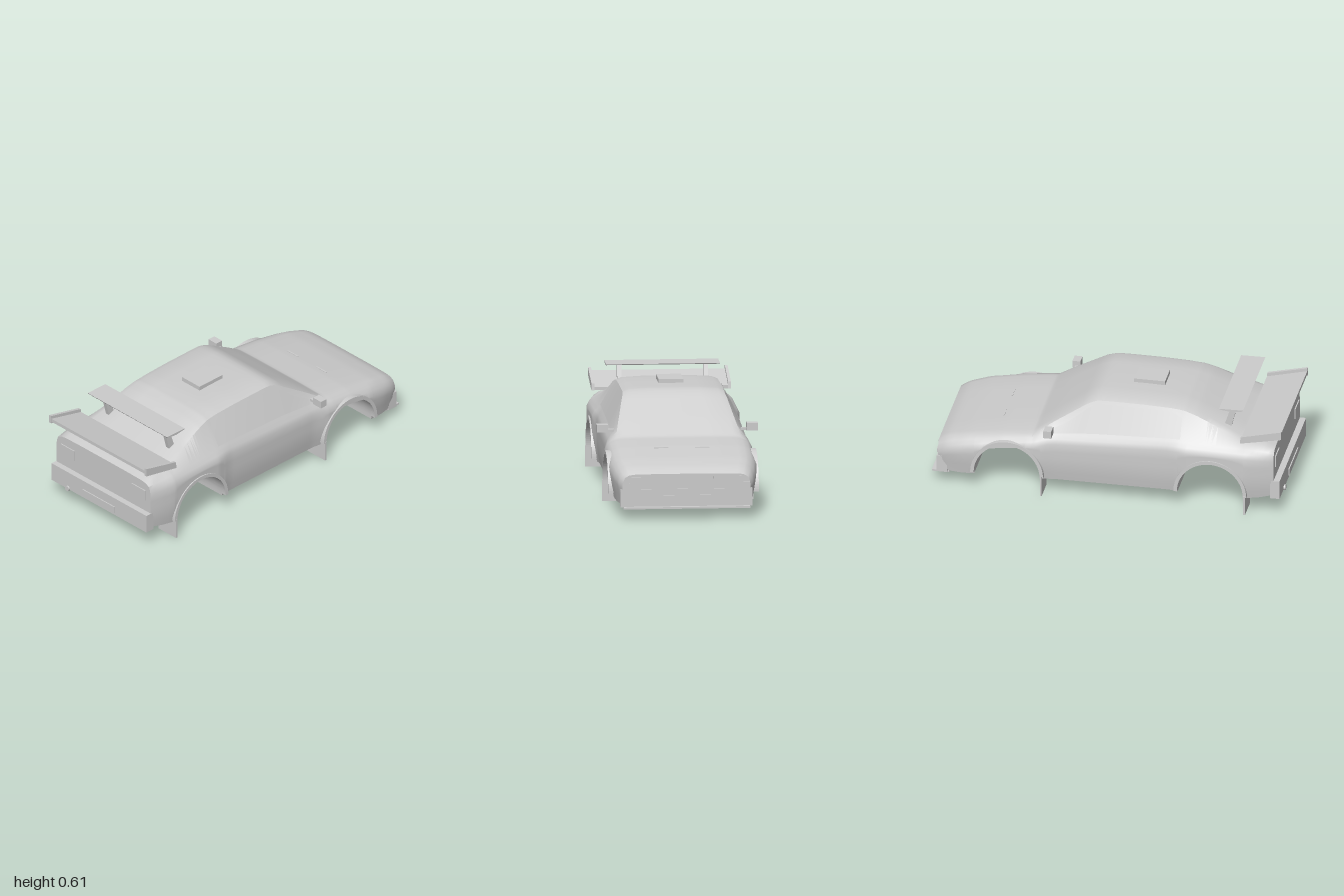
import * as THREE from 'three';
import { toCreasedNormals } from 'three/addons/utils/BufferGeometryUtils.js';

const paint = new THREE.MeshStandardMaterial({ color: 0xcccccc, side: THREE.DoubleSide });
paint.name = 'light grey';

// Piecewise linear curve through [x, value] pairs
const curve = (pts) => (x) => {
  if (x <= pts[0][0]) return pts[0][1];
  for (let i = 1; i < pts.length; i++) {
    const [x0, v0] = pts[i - 1], [x1, v1] = pts[i];
    if (x <= x1) return v0 + ((v1 - v0) * (x - x0)) / (x1 - x0);
  }
  return pts[pts.length - 1][1];
};

const topY = curve([[-0.955, 0.4], [-0.9, 0.42], [-0.77, 0.438], [-0.62, 0.5], [-0.5, 0.552], [-0.43, 0.573],
  [-0.35, 0.581], [-0.2, 0.586], [0, 0.587], [0.07, 0.585], [0.12, 0.565], [0.3, 0.448], [0.42, 0.366],
  [0.6, 0.346], [0.8, 0.312], [0.92, 0.28], [0.965, 0.25]]);
const beltY = curve([[-0.955, 0.38], [-0.8, 0.395], [-0.4, 0.4], [0.33, 0.368], [0.42, 0.345], [0.6, 0.325],
  [0.8, 0.288], [0.92, 0.255], [0.965, 0.23]]);
const beltZ = curve([[-0.955, 0.365], [-0.8, 0.385], [-0.4, 0.375], [0.3, 0.37], [0.45, 0.385], [0.75, 0.38],
  [0.92, 0.36], [0.965, 0.345]]);
const edgeZ = curve([[-0.955, 0.34], [-0.77, 0.335], [-0.6, 0.305], [-0.4, 0.285], [0.08, 0.285], [0.35, 0.34],
  [0.45, 0.355], [0.8, 0.35], [0.965, 0.32]]);
const edgeDrop = curve([[-0.955, 0.008], [-0.77, 0.015], [-0.5, 0.02], [0.1, 0.02], [0.4, 0.01], [0.965, 0.006]]);
const sideZ = curve([[-0.955, 0.38], [-0.88, 0.4], [-0.8, 0.417], [-0.45, 0.415], [-0.35, 0.398], [0.3, 0.398],
  [0.4, 0.414], [0.72, 0.414], [0.85, 0.398], [0.94, 0.378], [0.965, 0.363]]);
const floorY = curve([[-0.955, 0.115], [-0.87, 0.1], [-0.79, 0.095], [0.74, 0.09], [0.8, 0.078], [0.94, 0.075], [0.965, 0.1]]);
const tuck = curve([[0.08, 0.95], [0.17, 0.99], [0.22, 1], [0.34, 1]]);

const AXLES = [-0.6, 0.56], ARCH_Y = 0.11, ARCH_R = 0.19;
const sillY = (x) => {
  for (const c of AXLES) {
    const d = x - c;
    if (Math.abs(d) < ARCH_R) return ARCH_Y + Math.sqrt(ARCH_R * ARCH_R - d * d);
  }
  return floorY(x);
};

// Half section [z, y] from sill to roof centre; belt is index 7, roof edge index 8
function halfSection(x) {
  const b = sillY(x), shoulder = beltY(x) - 0.05, w = sideZ(x), pts = [];
  for (let i = 0; i <= 5; i++) {
    const y = b + ((shoulder - b) * i) / 5;
    pts.push([w * tuck(y), y]);
  }
  const top = topY(x), bz = beltZ(x), ez = edgeZ(x), ey = Math.max(top - edgeDrop(x), beltY(x));
  pts.push([w * 0.6 + bz * 0.4, beltY(x) - 0.022], [bz, beltY(x)], [ez, ey]);
  pts.push([ez - 0.035, top - edgeDrop(x) * 0.3], [ez * 0.5, top], [0, top]);
  return pts;
}

// Full closed section, with wheel wells that sink to the floor at the centre line
function section(x) {
  const half = halfSection(x), loop = [...half];
  for (let i = half.length - 2; i >= 0; i--) loop.push([-half[i][0], half[i][1]]);
  const [z0, b] = half[0], f = floorY(x);
  for (let i = 1; i < 12; i++) {
    const t = -1 + i / 6, k = 1 - (1 - Math.abs(t)) ** 2;
    loop.push([z0 * t, f + (b - f) * k]);
  }
  return loop;
}

function gridGeometry(rings, closed, caps) {
  const n = rings[0].length, pos = rings.flat(2), index = [];
  for (let i = 0; i + 1 < rings.length; i++)
    for (let j = 0; j < (closed ? n : n - 1); j++) {
      const k = (j + 1) % n, a = i * n, b = a + n;
      index.push(a + j, b + j, b + k, a + j, b + k, a + k);
    }
  if (caps) for (const [r, flip] of [[0, false], [rings.length - 1, true]]) {
    const c = pos.length / 3, base = r * n;
    pos.push(rings[r][0][0], 0.22, 0);
    for (let j = 0; j < n; j++) {
      const k = (j + 1) % n;
      index.push(c, base + (flip ? k : j), base + (flip ? j : k));
    }
  }
  const g = new THREE.BufferGeometry();
  g.setAttribute('position', new THREE.Float32BufferAttribute(pos, 3));
  g.setIndex(index);
  return toCreasedNormals(g, 0.6);
}

export function createModel() {
  const car = new THREE.Group();
  car.name = 'rallyCar';
  const add = (name, geometry) => {
    const m = new THREE.Mesh(geometry, paint);
    m.name = name;
    car.add(m);
    return m;
  };
  // Box given by its limits
  const box = (name, x0, x1, y0, y1, z0, z1) =>
    add(name, new THREE.BoxGeometry(x1 - x0, y1 - y0, z1 - z0))
      .position.set((x0 + x1) / 2, (y0 + y1) / 2, (z0 + z1) / 2);
  // Side outline extruded across the car
  const prism = (name, pts, z0, z1) => {
    const shape = new THREE.Shape(pts.map((p) => new THREE.Vector2(...p)));
    add(name, new THREE.ExtrudeGeometry(shape, { depth: z1 - z0, bevelEnabled: false })).position.z = z0;
  };

  // Body shell, with stations packed around the wheel arches
  const xs = [];
  for (let i = 0; i <= 64; i++) xs.push(-0.955 + (1.92 * i) / 64);
  for (const c of AXLES) {
    for (let i = 0; i <= 24; i++) xs.push(c - Math.cos((Math.PI * i) / 24) * ARCH_R * 0.9999);
    xs.push(c - ARCH_R - 0.0005, c + ARCH_R + 0.0005);
  }
  xs.sort((a, b) => a - b);
  add('bodyShell', gridGeometry(xs.map((x) => section(x).map(([z, y]) => [x, y, z])), true, true));

  for (const s of [1, -1]) {
    // Side window following the cabin side
    const rings = [];
    for (let i = 0; i <= 16; i++) {
      const x = -0.42 + i * 0.045, h = halfSection(x);
      const lo = h[7], hi = h[8], slope = curve([[-0.42, 0.75], [-0.36, 0.9], [0.1, 0.9], [0.3, 0.5]])(x);
      rings.push([0.08, slope].map((u) => [x, lo[1] + (hi[1] - lo[1]) * u + 0.001, s * (lo[0] + (hi[0] - lo[0]) * u + 0.003)]));
    }
    add('sideWindow', gridGeometry(s > 0 ? rings : rings.reverse(), false, false));

    // Arch lips and mud flaps
    for (const c of AXLES) {
      const lip = new THREE.Shape();
      lip.absarc(0, 0, 0.208, 0, Math.PI, false);
      lip.absarc(0, 0, 0.188, Math.PI, 0, true);
      add('archLip', new THREE.ExtrudeGeometry(lip, { depth: 0.03, bevelEnabled: false, curveSegments: 24 }))
        .position.set(c, ARCH_Y, s > 0 ? 0.393 : -0.423);
      const fx = c - 0.196;
      box('mudFlap', fx - 0.005, fx + 0.005, 0, 0.12, s > 0 ? 0.285 : -0.425, s > 0 ? 0.425 : -0.285);
    }

    const side = (name, x0, x1, y0, y1, z0, z1) =>
      box(name, x0, x1, y0, y1, s > 0 ? z0 : -z1, s > 0 ? z1 : -z0);
    // Mirrors, lamps and bonnet slots
    side('mirror', 0.3, 0.345, 0.385, 0.428, 0.39, 0.453);
    side('mirrorStalk', 0.31, 0.33, 0.385, 0.4, 0.355, 0.4);
    side('frontLamp', 0.95, 0.972, 0.178, 0.2, 0.32, 0.355);
    side('grilleBar', 0.955, 0.97, 0.222, 0.234, 0.15, 0.31);
    side('tailLamp', -0.961, -0.953, 0.28, 0.345, 0.23, 0.34);
    side('bonnetSlot', 0.625, 0.634, 0.335, 0.344, 0.075, 0.155);

    // Wing end plates and struts
    const across = (name, pts, z0, z1) => prism(name, pts, s > 0 ? z0 : -z1, s > 0 ? z1 : -z0);
    across('wingEndPlate', [[-1, 0.53], [-1, 0.482], [-0.765, 0.435], [-0.77, 0.475]], 0.376, 0.392);
    across('wingStrut', [[-0.725, 0.603], [-0.692, 0.6], [-0.652, 0.475], [-0.69, 0.465]], 0.23, 0.255);
  }

  // Rear wings
  prism('lowerWing', [[-0.998, 0.512], [-0.998, 0.492], [-0.768, 0.437], [-0.768, 0.455]], -0.378, 0.378);
  prism('upperWing', [[-0.77, 0.607], [-0.765, 0.6], [-0.7, 0.592], [-0.635, 0.6], [-0.632, 0.605]], -0.32, 0.32);

  // Roof vent
  box('roofVent', -0.275, -0.098, 0.575, 0.608, -0.07, 0.07);

  // Front bumper, number plate and splitter
  box('frontBumper', 0.91, 0.97, 0.065, 0.165, -0.37, 0.37);
  box('frontPlate', 0.968, 0.975, 0.076, 0.13, -0.205, 0.205);
  box('splitter', 0.9, 1, 0.057, 0.067, -0.356, 0.356);

  // Rear bumper, number plate and exhaust
  box('rearBumper', -0.99, -0.935, 0.1, 0.21, -0.382, 0.382);
  box('rearPlate', -0.996, -0.988, 0.115, 0.155, -0.13, 0.13);
  const pipe = add('exhaust', new THREE.CylinderGeometry(0.016, 0.016, 0.12, 16));
  pipe.rotation.z = Math.PI / 2;
  pipe.position.set(-0.94, 0.106, -0.25);

  return car;
}
